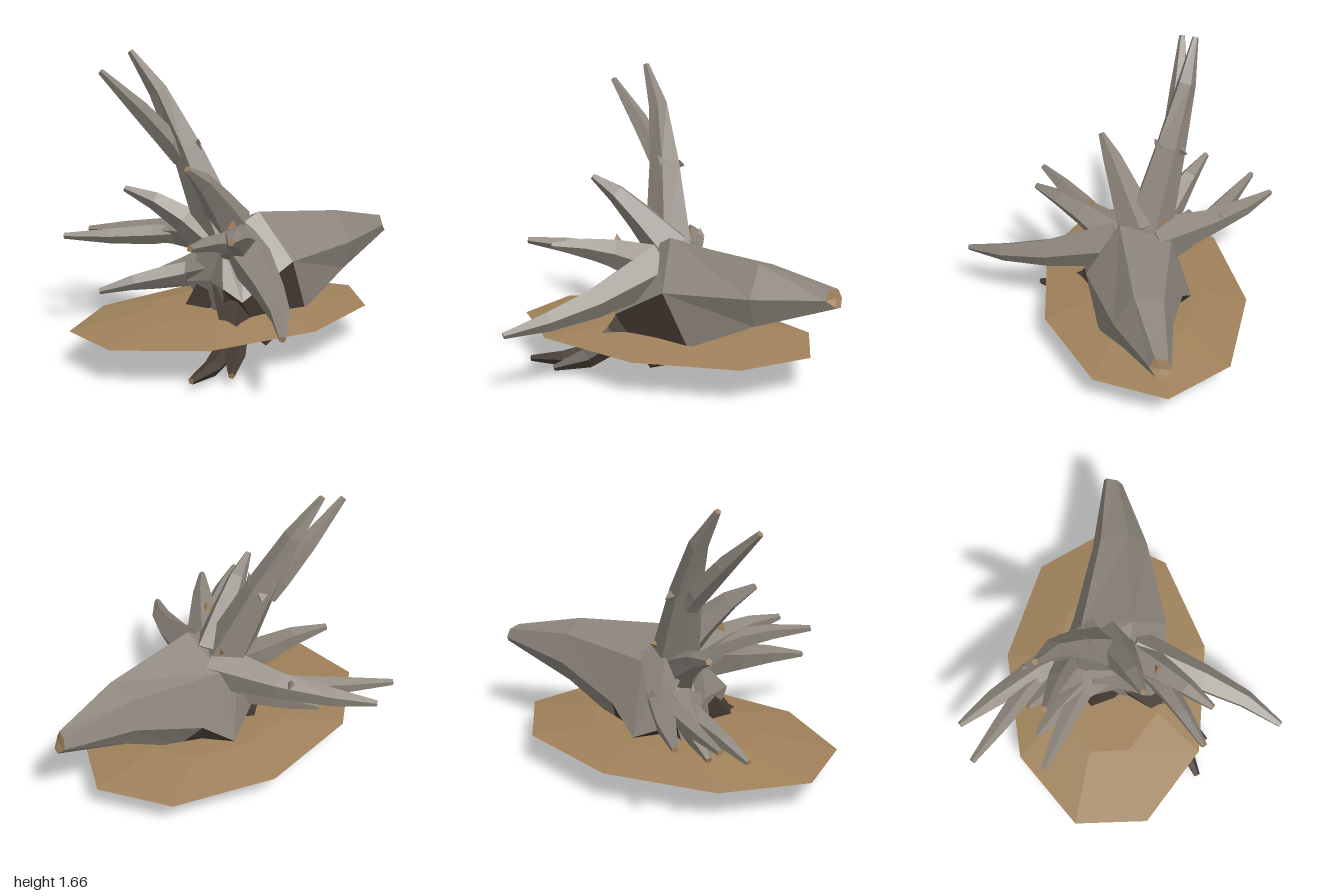
import * as THREE from 'three';

const bark = new THREE.MeshStandardMaterial({ color: 0x8c857c, flatShading: true });
bark.name = 'greyBark';
const soil = new THREE.MeshStandardMaterial({ color: 0x463b33, flatShading: true });
soil.name = 'darkSoiledBark';
const sand = new THREE.MeshStandardMaterial({ color: 0x9f815a, flatShading: true, side: THREE.DoubleSide });
sand.name = 'tanEarth';

const V = (p) => new THREE.Vector3(p[0], p[1], p[2]);

// Skin a list of rings. isSoiled(segment, side) picks dark faces; the last cap is cut wood
function loft(rings, name, isSoiled) {
  const buckets = [[], [], []];
  const tri = (bucket, ...ps) => ps.forEach((p) => buckets[bucket].push(p.x, p.y, p.z));
  const middle = (r) => r.reduce((s, p) => s.add(p), new THREE.Vector3()).divideScalar(r.length);
  const n = rings[0].length;
  const first = rings[0], last = rings[rings.length - 1];
  const c0 = middle(first), c1 = middle(last);
  for (let i = 0; i < n; i++) {
    const j = (i + 1) % n;
    tri(0, c0, first[j], first[i]);
    for (let k = 0; k + 1 < rings.length; k++) {
      const a = rings[k], b = rings[k + 1];
      const bucket = isSoiled(k, i) ? 1 : 0;
      tri(bucket, a[i], a[j], b[j]);
      tri(bucket, a[i], b[j], b[i]);
    }
    tri(2, c1, last[i], last[j]);
  }
  const g = new THREE.BufferGeometry();
  g.setAttribute('position', new THREE.Float32BufferAttribute(buckets.flat(), 3));
  let start = 0;
  buckets.forEach((b, i) => {
    g.addGroup(start, b.length / 3, i);
    start += b.length / 3;
  });
  g.computeVertexNormals();
  const mesh = new THREE.Mesh(g, [bark, soil, sand]);
  mesh.name = name;
  return mesh;
}

// Tapered five-sided root through stations [x, y, z, radius]
function root(name, stations) {
  const pts = stations.map(V);
  const rings = pts.map((p, i) => {
    const t = pts[Math.min(i + 1, pts.length - 1)].clone().sub(pts[Math.max(i - 1, 0)]).normalize();
    const u = new THREE.Vector3(0, 1, 0.3).cross(t).normalize();
    const v = t.clone().cross(u);
    return Array.from({ length: 5 }, (_, k) => {
      const a = (k / 5) * Math.PI * 2 + 0.3;
      return p.clone()
        .addScaledVector(u, Math.cos(a) * stations[i][3])
        .addScaledVector(v, Math.sin(a) * stations[i][3]);
    });
  });
  return loft(rings, name, () => name.startsWith('buried'));
}

export function createModel() {
  const model = new THREE.Group();
  model.name = 'uprootedStump';

  // Fallen trunk, from the root end to the broken tip; its underside is soiled
  model.add(loft([
    [[-0.22, 0.62, 0.03], [-0.32, 0.42, 0.17], [-0.28, 0.26, 0.13], [-0.25, 0.26, -0.1], [-0.3, 0.38, -0.2], [-0.25, 0.58, -0.14]],
    [[-0.1, 0.73, 0.05], [-0.25, 0.35, 0.25], [-0.05, 0.06, 0.2], [0.05, 0.04, -0.1], [0.02, 0.26, -0.34], [-0.1, 0.64, -0.23]],
    [[0, 0.785, 0.07], [0.08, 0.53, 0.27], [0.21, 0.23, 0.22], [0.24, 0.21, -0.11], [0.19, 0.4, -0.26], [0.02, 0.67, -0.22]],
    [[0.56, 0.72, 0.07], [0.57, 0.55, 0.18], [0.57, 0.39, 0.13], [0.57, 0.38, -0.06], [0.57, 0.52, -0.14], [0.56, 0.68, -0.09]],
    [[0.95, 0.63, 0.02], [0.945, 0.575, 0.05], [0.99, 0.535, 0.02], [1, 0.53, -0.02], [0.985, 0.57, -0.06], [0.97, 0.62, -0.045]],
  ].map((r) => r.map(V)), 'trunk', (segment, side) => (segment < 2 ? side >= 1 && side <= 3 : segment === 2 && side === 2)));

  // Roots and their forks
  const roots = {
    tallRoot: [[-0.1, 0.58, -0.08, 0.15], [-0.25, 1.12, -0.25, 0.09], [-0.37, 1.44, -0.355, 0.055], [-0.5, 1.655, -0.425, 0.018]],
    tallRootFork: [[-0.28, 1.06, -0.27, 0.05], [-0.34, 1.16, -0.29, 0.065], [-0.5, 1.345, -0.34, 0.052], [-0.71, 1.56, -0.39, 0.018]],
    backRoot: [[-0.05, 0.63, -0.1, 0.14], [-0.2, 0.61, -0.46, 0.08], [-0.36, 0.59, -0.72, 0.053], [-0.5, 0.58, -0.91, 0.018]],
    backRootFork: [[-0.22, 0.6, -0.44, 0.05], [-0.3, 0.59, -0.53, 0.06], [-0.5, 0.58, -0.68, 0.045], [-0.71, 0.58, -0.84, 0.018]],
    frontRoot: [[-0.1, 0.6, 0.05, 0.14], [-0.24, 0.47, 0.46, 0.085], [-0.36, 0.41, 0.71, 0.055], [-0.5, 0.36, 0.905, 0.018]],
    crownRoot: [[-0.08, 0.68, -0.06, 0.13], [-0.24, 0.86, 0.01, 0.085], [-0.37, 0.99, 0.06, 0.055], [-0.5, 1.08, 0.105, 0.018]],
    upperFrontRoot: [[-0.12, 0.6, 0.04, 0.13], [-0.28, 0.7, 0.24, 0.08], [-0.38, 0.74, 0.36, 0.053], [-0.5, 0.76, 0.49, 0.018]],
    upperFrontFork: [[-0.26, 0.66, 0.16, 0.06], [-0.38, 0.7, 0.25, 0.06], [-0.52, 0.73, 0.33, 0.045], [-0.71, 0.75, 0.43, 0.018]],
    upperBackRoot: [[-0.14, 0.58, -0.1, 0.13], [-0.26, 0.72, -0.27, 0.08], [-0.38, 0.82, -0.39, 0.053], [-0.5, 0.885, -0.51, 0.018]],
    lowerBackRoot: [[-0.14, 0.48, -0.1, 0.13], [-0.27, 0.42, -0.26, 0.085], [-0.38, 0.37, -0.38, 0.058], [-0.5, 0.315, -0.49, 0.018]],
    lowerBackFork: [[-0.24, 0.44, -0.2, 0.06], [-0.38, 0.41, -0.29, 0.06], [-0.54, 0.38, -0.37, 0.045], [-0.71, 0.335, -0.46, 0.018]],
    buriedFrontRoot: [[-0.18, 0.36, 0.07, 0.13], [-0.28, 0.2, 0.21, 0.085], [-0.38, 0.1, 0.35, 0.06], [-0.5, 0.06, 0.49, 0.018]],
    buriedFrontFork: [[-0.28, 0.2, 0.2, 0.06], [-0.4, 0.11, 0.29, 0.06], [-0.53, 0.075, 0.36, 0.047], [-0.71, 0.06, 0.43, 0.018]],
    buriedBackRoot: [[-0.16, 0.36, -0.08, 0.13], [-0.27, 0.15, -0.19, 0.09], [-0.37, 0.057, -0.26, 0.055], [-0.5, 0.06, -0.32, 0.018]],
  };
  for (const [name, stations] of Object.entries(roots)) model.add(root(name, stations));

  // Short broken twigs: base, tip
  const twigs = [
    [[-0.22, 1.13, -0.19], [-0.24, 1.185, -0.16], bark],
    [[-0.2, 1.12, -0.3], [-0.17, 1.105, -0.335], bark],
    [[-0.07, 0.77, -0.06], [-0.05, 0.81, -0.04], sand],
    [[-0.05, 0.75, -0.15], [-0.02, 0.78, -0.21], sand],
    [[-0.27, 0.75, 0.2], [-0.27, 0.8, 0.2], sand],
    [[-0.2, 0.64, -0.54], [-0.2, 0.69, -0.55], bark],
  ];
  for (const [from, to, material] of twigs) {
    const dir = V(to).sub(V(from));
    const twig = new THREE.Mesh(new THREE.ConeGeometry(0.034, dir.length(), 3), material);
    twig.position.copy(V(from)).addScaledVector(dir, 0.5);
    twig.quaternion.setFromUnitVectors(new THREE.Vector3(0, 1, 0), dir.normalize());
    twig.name = 'brokenTwig';
    model.add(twig);
  }

  // Low mound of earth: nine-sided rim, raised middle
  const rim = [[-1, -0.29], [-0.6, -0.6], [0.03, -0.67], [0.59, -0.46], [0.8, -0.08], [0.59, 0.3], [0.04, 0.51], [-0.6, 0.44], [-1, 0.12]];
  const at = (i, s, y) => [-0.1 + (rim[i % 9][0] + 0.1) * s, y, -0.08 + (rim[i % 9][1] + 0.08) * s];
  const pos = [];
  for (let i = 0; i < 9; i++) {
    const a = at(i, 1, 0.2), b = at(i + 1, 1, 0.2);
    const c = at(i, 0.55, 0.255), d = at(i + 1, 0.55, 0.255);
    pos.push(...a, ...d, ...b, ...a, ...c, ...d, ...c, -0.1, 0.26, -0.08, ...d);
  }
  // Order every triangle so the upper side is the front
  for (let i = 0; i < pos.length; i += 9) {
    const p = pos.slice(i, i + 9);
    const up = (p[5] - p[2]) * (p[6] - p[0]) - (p[3] - p[0]) * (p[8] - p[2]);
    if (up < 0) pos.splice(i, 9, ...p.slice(0, 3), ...p.slice(6, 9), ...p.slice(3, 6));
  }
  const ground = new THREE.BufferGeometry();
  ground.setAttribute('position', new THREE.Float32BufferAttribute(pos, 3));
  ground.computeVertexNormals();
  const mound = new THREE.Mesh(ground, sand);
  mound.name = 'earthMound';
  model.add(mound);

  return model;
}
